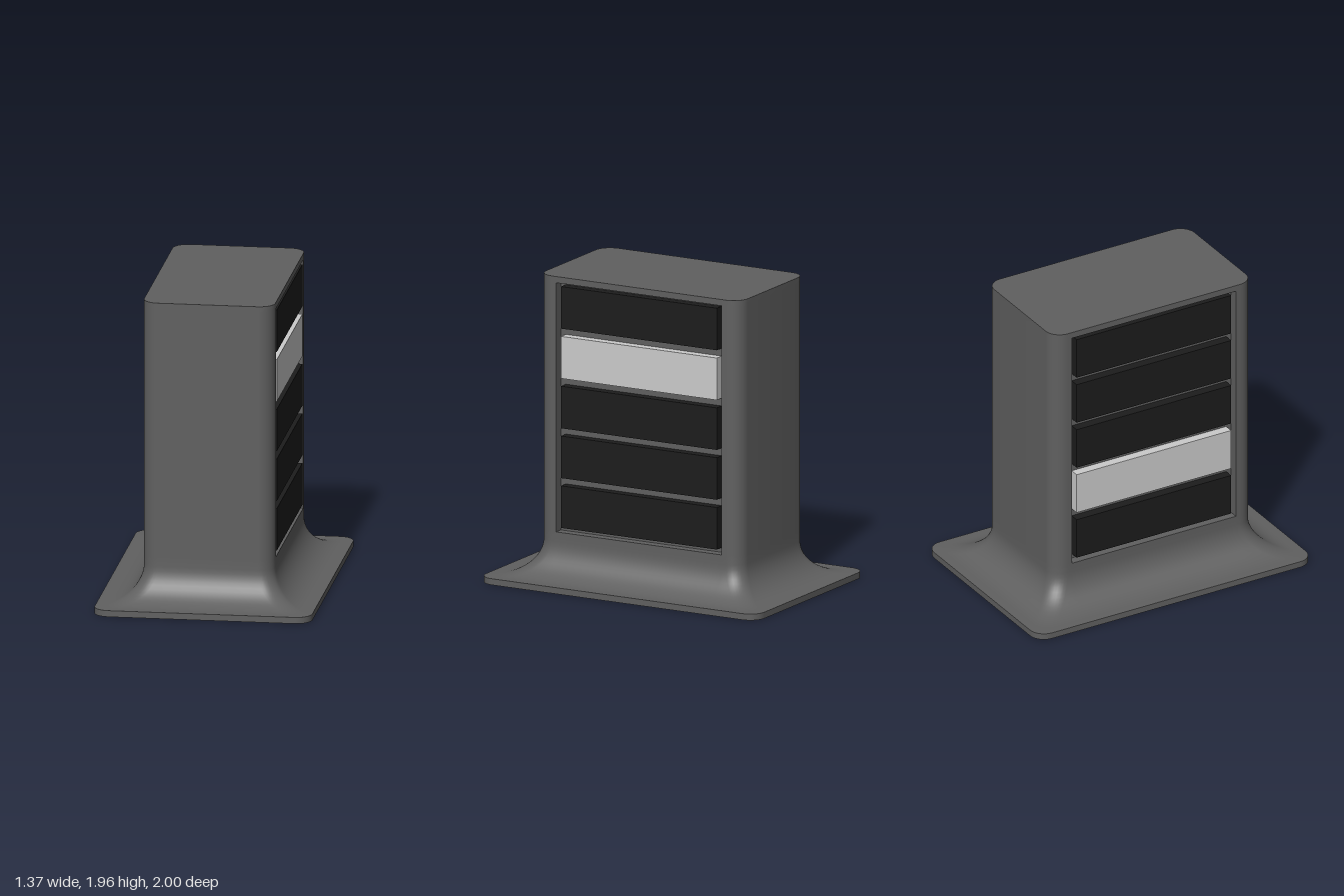
import * as THREE from 'three';
import { toCreasedNormals } from 'three/addons/utils/BufferGeometryUtils.js';

const HX = 0.413, HZ = 0.725, TOP = 1.96;   // body half width, half depth, height
const PLATE = 0.04, FLARE = 0.22;           // base plate thickness, flare radius
const PZ = 0.595, PY0 = 0.32, PY1 = 1.92, DEPTH = 0.06; // side recess
const SEG = 8, R = 0.1;

// Rounded rectangle with extra points where the side recesses begin and end
function outline(hx, hz) {
  const pts = [[hx, PZ]];
  const corner = (sx, sz, start) => {
    for (let i = 0; i <= SEG; i++) {
      const t = start + (i / SEG) * Math.PI / 2;
      pts.push([sx * (hx - R) + R * Math.cos(t), sz * (hz - R) + R * Math.sin(t)]);
    }
  };
  corner(1, 1, 0);
  corner(-1, 1, Math.PI / 2);
  pts.push([-hx, PZ], [-hx, -PZ]);
  corner(-1, -1, Math.PI);
  corner(1, -1, Math.PI * 1.5);
  pts.push([hx, -PZ]);
  return pts;
}

// Stacked outlines: plate, flare, then straight walls with two openings
function bodyGeometry() {
  const levels = [[0.685, 1, 0], [0.685, 1, PLATE]];
  for (let i = 0; i <= 12; i++) {
    const t = (i / 12) * Math.PI / 2;
    const out = FLARE * (1 - Math.sin(t));
    levels.push([HX + out, HZ + out, PLATE + FLARE * (1 - Math.cos(t))]);
  }
  for (const y of [PY0, PY1, TOP]) levels.push([HX, HZ, y]);

  const pos = [], idx = [];
  for (const [hx, hz, y] of levels) for (const [x, z] of outline(hx, hz)) pos.push(x, y, z);
  const n = 4 * (SEG + 1) + 4, mid = 1 + 2 * (SEG + 1), last = levels.length - 1;
  for (let l = 0; l < last; l++) {
    for (let i = 0; i < n; i++) {
      if (l === last - 2 && (i === n - 1 || i === mid)) continue; // recess opening
      const a = l * n + i, b = l * n + (i + 1) % n;
      idx.push(a, a + n, b, b, a + n, b + n);
    }
  }
  // Underside and top
  const c = pos.length / 3;
  pos.push(0, 0, 0, 0, TOP, 0);
  for (let i = 0; i < n; i++) {
    const j = (i + 1) % n;
    idx.push(c, i, j, c + 1, last * n + j, last * n + i);
  }
  const g = new THREE.BufferGeometry();
  g.setAttribute('position', new THREE.Float32BufferAttribute(pos, 3));
  g.setIndex(idx);
  return toCreasedNormals(g, 0.6);
}

export function createModel() {
  const model = new THREE.Group();
  model.name = 'displayTower';
  const shell = new THREE.MeshStandardMaterial({ color: 0x606060 });
  const lining = new THREE.MeshStandardMaterial({ color: 0x606060, side: THREE.DoubleSide });
  const dark = new THREE.MeshStandardMaterial({ color: 0x1c1c1c });
  const light = new THREE.MeshStandardMaterial({ color: 0xcccccc });
  const add = (parent, name, geo, mat, x = 0, y = 0, z = 0) => {
    const m = new THREE.Mesh(geo, mat);
    m.name = name;
    m.position.set(x, y, z);
    parent.add(m);
  };

  add(model, 'body', bodyGeometry(), shell);

  // Recess lining: a box without its outer face
  const pan = new THREE.BoxGeometry(DEPTH, PY1 - PY0, 2 * PZ);
  pan.setIndex(Array.from(pan.index.array).slice(6));
  pan.clearGroups();
  const bar = new THREE.BoxGeometry(DEPTH, 0.27, 1.12);

  // One panel of five bars on each side, each with a single light bar
  const panel = (name, lightBar, turn) => {
    const g = new THREE.Group();
    g.name = name;
    g.rotation.y = turn;
    add(g, 'recess', pan, lining, HX - DEPTH / 2, (PY0 + PY1) / 2);
    for (let i = 0; i < 5; i++) {
      const lit = i === lightBar;
      add(g, lit ? 'lightBar' : 'darkBar', bar, lit ? light : dark, HX - DEPTH / 2, 0.485 + i * 0.32);
    }
    model.add(g);
  };
  panel('leftPanel', 3, 0);
  panel('rightPanel', 1, Math.PI);
  return model;
}
